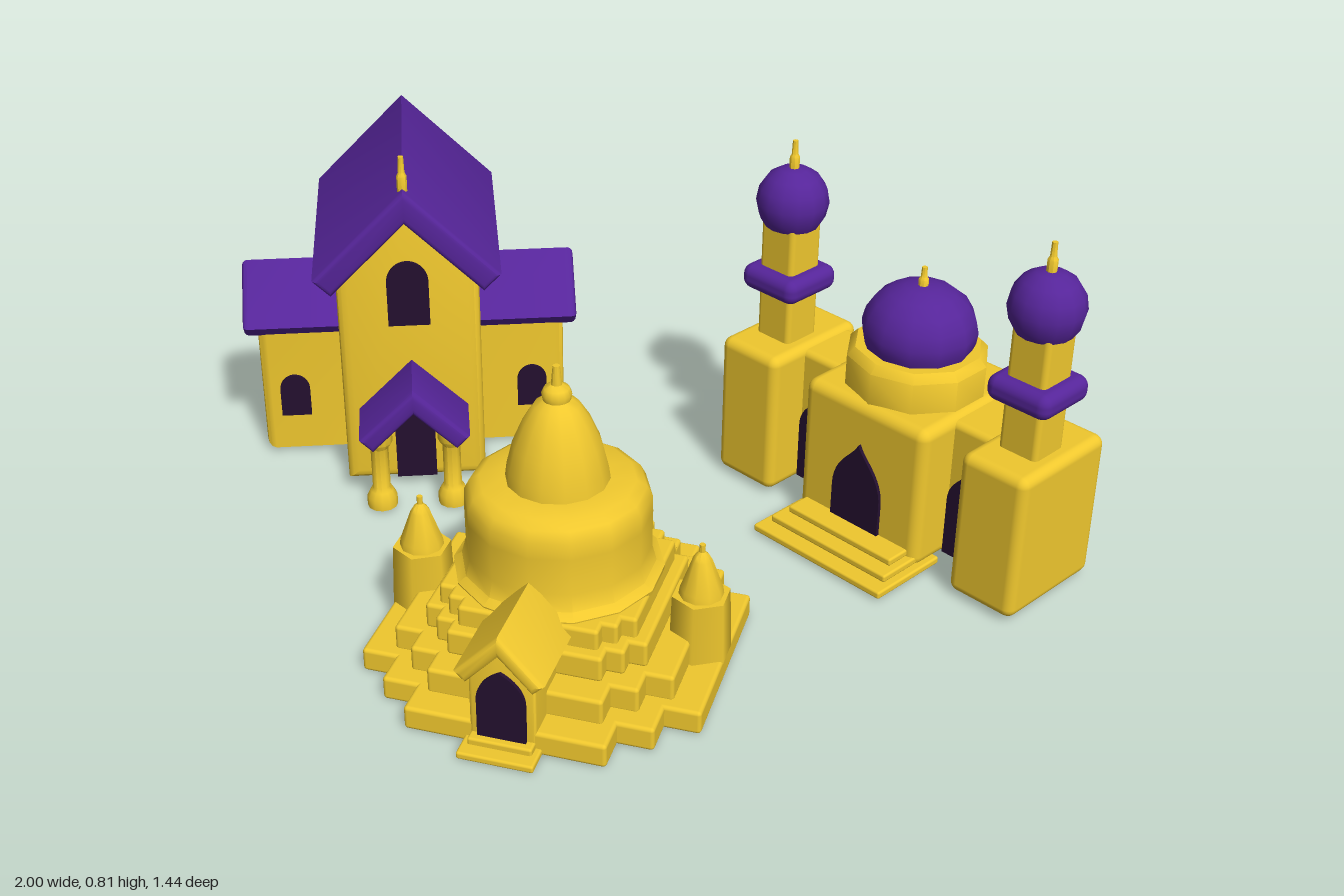
import * as THREE from 'three';
import { RoundedBoxGeometry } from 'three/addons/geometries/RoundedBoxGeometry.js';
import { toCreasedNormals } from 'three/addons/utils/BufferGeometryUtils.js';

const gold = new THREE.MeshStandardMaterial({ color: 0xf0c82e });
const purple = new THREE.MeshStandardMaterial({ color: 0x56259a });
const dark = new THREE.MeshStandardMaterial({ color: 0x24102f });

function add(parent, name, geometry, material, x = 0, y = 0, z = 0) {
  const mesh = new THREE.Mesh(geometry, material);
  mesh.name = name;
  mesh.position.set(x, y, z);
  parent.add(mesh);
  return mesh;
}

// Box given by its centre in x and z and its bottom and top heights
function box(parent, name, mat, w, y0, y1, d, x = 0, z = 0, r = 0.02) {
  return add(parent, name, new RoundedBoxGeometry(w, y1 - y0, d, 3, r), mat, x, (y0 + y1) / 2, z);
}

// Outline extruded along z, centred, with softened edges that stay inside the outline
function prism(points, depth, b) {
  const shape = new THREE.Shape(points.map(([x, y]) => new THREE.Vector2(x, y)));
  const g = new THREE.ExtrudeGeometry(shape, {
    depth: depth - 2 * b, bevelThickness: b, bevelSize: b, bevelOffset: -b, bevelSegments: 3,
  });
  g.translate(0, 0, b - depth / 2);
  return toCreasedNormals(g, 0.6);
}

// Pentagon-ended house body
function house(w, y0, wall, peak, depth, b = 0.02) {
  return prism([[-w, y0], [w, y0], [w, wall], [0, peak], [-w, wall]], depth, b);
}

// Two sloping slabs meeting at a ridge along z
function gableRoof(w, ridge, eave, t, depth) {
  const a = Math.atan2(ridge - eave, w);
  const ix = w - t * Math.sin(a), iy = eave - t * Math.cos(a);
  return prism([[0, ridge], [-w, eave], [-ix, iy], [0, ridge - t / Math.cos(a)], [ix, iy], [w, eave]], depth, 0.012);
}

// Thin dark panel with an arched top; a higher point value gives a sharper arch
function arch(parent, name, w, y0, y1, x, z, point = 0) {
  const h = w / 2, spring = y1 - w * (0.55 + point * 0.4);
  const s = new THREE.Shape();
  s.moveTo(-h, y0);
  s.lineTo(h, y0);
  s.lineTo(h, spring);
  s.bezierCurveTo(h, spring + (y1 - spring) * 0.55, h * (0.55 - 0.35 * point), y1 - 0.25 * w * point, 0, y1);
  s.bezierCurveTo(-h * (0.55 - 0.35 * point), y1 - 0.25 * w * point, -h, spring + (y1 - spring) * 0.55, -h, spring);
  return add(parent, name, new THREE.ExtrudeGeometry(s, { depth: 0.012, bevelEnabled: false }), dark, x, 0, z - 0.006);
}

function lathe(points, sides) {
  const g = new THREE.LatheGeometry(points.map(([r, y]) => new THREE.Vector2(r, y)), sides);
  return toCreasedNormals(g, 0.75);
}

function finial(parent, x, y, z, h) {
  add(parent, 'finial', lathe([[0.011, 0], [0.011, h * 0.45], [0.007, h * 0.55], [0.006, h], [0, h]], 8), gold, x, y, z);
}

// Gabled hall with cross wings and a columned porch
function makeHall() {
  const g = new THREE.Group();
  g.name = 'gabledHall';
  g.position.set(-0.596, 0, -0.396);
  g.rotation.y = 0.384;
  add(g, 'hallBody', house(0.157, 0.01, 0.53, 0.7, 0.48, 0.025), gold);
  add(g, 'hallRoof', gableRoof(0.205, 0.745, 0.54, 0.055, 0.56), purple);
  add(g, 'wingBody', house(0.1, 0.01, 0.32, 0.42, 0.7), gold, 0, 0, -0.02).rotation.y = Math.PI / 2;
  for (const s of [-1, 1]) {
    add(g, 'wingRoof', gableRoof(0.125, 0.455, 0.34, 0.04, 0.25), purple, s * 0.255, 0, -0.02).rotation.y = Math.PI / 2;
    arch(g, 'wingWindow', 0.068, 0.1, 0.205, s * 0.275, 0.081);
    // Porch column on a stepped foot
    const column = [[0, 0], [0.034, 0], [0.034, 0.025], [0.026, 0.04], [0.02, 0.05], [0.02, 0.15], [0.03, 0.165], [0.03, 0.2], [0, 0.2]];
    add(g, 'porchColumn', lathe(column, 12), gold, s * 0.08, 0.005, 0.335);
  }
  add(g, 'porchRoof', gableRoof(0.122, 0.32, 0.2, 0.042, 0.17), purple, 0, 0, 0.305);
  arch(g, 'hallWindow', 0.092, 0.41, 0.565, 0, 0.241);
  arch(g, 'hallDoor', 0.09, 0.02, 0.2, 0, 0.243);
  finial(g, 0, 0.735, 0.25, 0.08);
  return g;
}

// Domed hall flanked by two towers
function makeDomedHall() {
  const g = new THREE.Group();
  g.name = 'domedHall';
  g.position.set(0.588, 0, -0.362);
  g.rotation.y = -Math.PI / 6;
  box(g, 'domedBody', gold, 0.335, 0.01, 0.35, 0.36, 0, -0.01, 0.025);
  add(g, 'drum', lathe([[0, 0.34], [0.155, 0.34], [0.155, 0.42], [0.138, 0.438], [0, 0.438]], 10), gold);
  const dome = [[0.112, 0.43], [0.122, 0.455], [0.125, 0.48], [0.118, 0.51], [0.1, 0.54], [0.072, 0.562], [0.038, 0.575], [0, 0.579]];
  add(g, 'dome', lathe(dome, 12), purple);
  finial(g, 0, 0.57, 0, 0.05);
  arch(g, 'mainDoor', 0.132, 0.05, 0.255, 0, 0.172, 1);
  for (let i = 0; i < 3; i++) {
    const front = 0.3 - i * 0.037;
    box(g, 'step', gold, 0.36 - i * 0.035, 0.005 + i * 0.016, 0.022 + i * 0.016, front - 0.1, 0, (front + 0.1) / 2, 0.005);
  }
  for (const s of [-1, 1]) {
    box(g, 'linkWall', gold, 0.16, 0.01, 0.34, 0.155, s * 0.215, -0.008, 0.015);
    arch(g, 'sideDoor', 0.085, 0.02, 0.235, s * 0.212, 0.072, 1);
    box(g, 'towerBase', gold, 0.165, 0.01, 0.35, 0.278, s * 0.338, 0.03, 0.022);
    const tx = s * 0.338, tz = 0.043;
    box(g, 'towerShaft', gold, 0.095, 0.33, 0.64, 0.095, tx, tz, 0.012);
    box(g, 'balcony', purple, 0.155, 0.46, 0.518, 0.155, tx, tz, 0.024);
    const cap = [[0, 0.618], [0.06, 0.618], [0.073, 0.64], [0.08, 0.672], [0.074, 0.704], [0.056, 0.731], [0.03, 0.747], [0, 0.752]];
    add(g, 'towerDome', lathe(cap, 14), purple, tx, 0, tz);
    finial(g, tx, 0.745, tz, 0.068);
  }
  return g;
}

// Stepped cross-shaped terrace: half size h, narrowing twice at each corner
function terrace(parent, h, n, y0, y1) {
  const k = h - n, l = h - 2 * n;
  for (const [w, d] of [[h, l], [k, k], [l, h]])
    box(parent, 'terrace', gold, 2 * w, y0, y1, 2 * d, 0, 0, 0.008);
}

// Bell-shaped shrine on terraces
function makeShrine() {
  const g = new THREE.Group();
  g.name = 'bellShrine';
  g.position.set(-0.004, 0, 0.312);
  terrace(g, 0.35, 0.073, 0, 0.052);
  terrace(g, 0.288, 0.055, 0.046, 0.104);
  terrace(g, 0.228, 0.035, 0.1, 0.157);
  terrace(g, 0.203, 0.03, 0.15, 0.2);
  const bell = [[0, 0.19], [0.21, 0.19], [0.212, 0.203], [0.195, 0.215], [0.186, 0.25], [0.187, 0.33],
    [0.186, 0.365], [0.175, 0.387], [0.155, 0.4], [0.1, 0.403]];
  add(g, 'bell', lathe(bell, 14), gold);
  const spire = [[0.104, 0.4], [0.1, 0.43], [0.088, 0.48], [0.067, 0.53], [0.045, 0.565], [0.028, 0.578],
    [0.03, 0.59], [0.025, 0.602], [0.011, 0.61], [0.007, 0.65], [0, 0.65]];
  add(g, 'spire', lathe(spire, 14), gold);
  // Side turrets
  for (const s of [-1, 1]) {
    const x = s * 0.294;
    add(g, 'turret', new THREE.CylinderGeometry(0.06, 0.065, 0.14, 6), gold, x, 0.115, 0);
    const cone = [[0.046, 0.18], [0.043, 0.2], [0.02, 0.265], [0.014, 0.275], [0.006, 0.283], [0.006, 0.3], [0, 0.3]];
    add(g, 'turretCone', lathe(cone, 10), gold, x, 0, 0);
  }
  // Entrance porch
  add(g, 'entranceBody', house(0.067, 0.01, 0.17, 0.245, 0.22, 0.008), gold, 0, 0, 0.242);
  add(g, 'entranceRoof', gableRoof(0.09, 0.275, 0.178, 0.032, 0.24), gold, 0, 0, 0.253);
  arch(g, 'entranceDoor', 0.098, 0.025, 0.185, 0, 0.354, 0.4);
  box(g, 'entranceStep', gold, 0.155, 0, 0.016, 0.12, 0, 0.345, 0.005);
  box(g, 'entranceStep', gold, 0.13, 0.01, 0.03, 0.1, 0, 0.325, 0.005);
  return g;
}

export function createModel() {
  const model = new THREE.Group();
  model.name = 'threeShrines';
  model.add(makeHall(), makeDomedHall(), makeShrine());
  return model;
}
